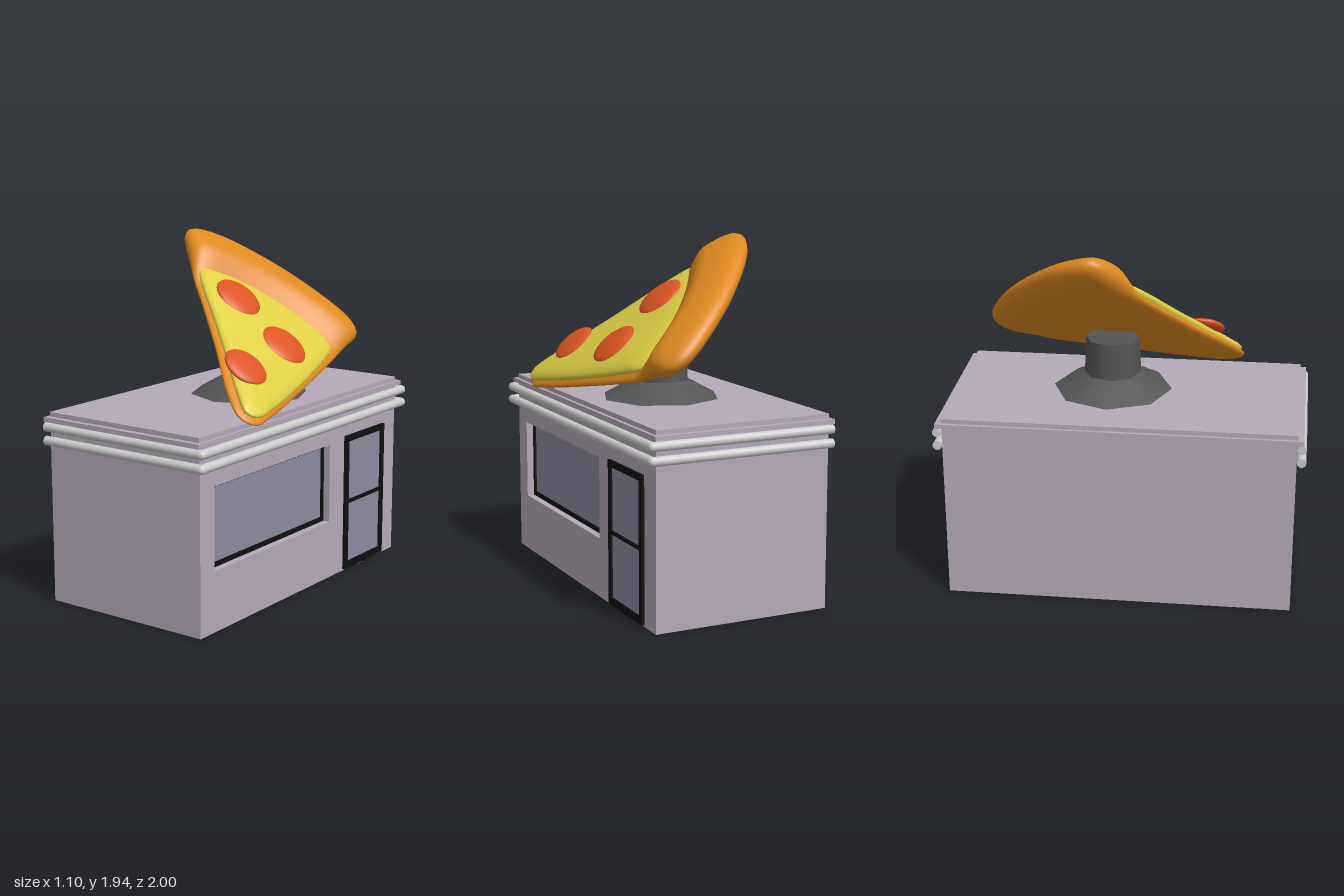
import * as THREE from 'three';
import { mergeVertices } from 'three/addons/utils/BufferGeometryUtils.js';

const mat = (color) => new THREE.MeshStandardMaterial({ color });
const WALL = mat(0xb5a9b8), GLASS = mat(0x8c8aa0), FRAME = mat(0x10100f), PIPE = mat(0xcccccc);
const STAND = mat(0x555555), CRUST = mat(0xe08a20), CHEESE = mat(0xdfd045), SAUSAGE = mat(0xdd5524);

function add(parent, name, geometry, material) {
  const mesh = new THREE.Mesh(geometry, material);
  mesh.name = name;
  parent.add(mesh);
  return mesh;
}

// Box given by its minimum and maximum corners
function block(parent, name, material, x0, x1, y0, y1, z0, z1) {
  const mesh = add(parent, name, new THREE.BoxGeometry(x1 - x0, y1 - y0, z1 - z0), material);
  mesh.position.set((x0 + x1) / 2, (y0 + y1) / 2, (z0 + z1) / 2);
  return mesh;
}

function rect(Type, [a0, a1, b0, b1]) {
  const p = new Type();
  p.moveTo(a0, b0).lineTo(a1, b0).lineTo(a1, b1).lineTo(a0, b1).closePath();
  return p;
}

// Upright plate facing +x, with rectangular holes; rectangles are [-z0, -z1, y0, y1]
function plate(parent, name, material, x0, x1, outer, holes) {
  const shape = rect(THREE.Shape, outer);
  shape.holes = holes.map((h) => rect(THREE.Path, h));
  const geo = new THREE.ExtrudeGeometry(shape, { depth: x1 - x0, bevelEnabled: false });
  const mesh = add(parent, name, geo, material);
  mesh.rotation.y = Math.PI / 2;
  mesh.position.x = x0;
  return mesh;
}

// Rounded slab over a smooth outline of [x, z] points; thickness may vary by position
function pillow(outline, base, thickness, power) {
  const n = 96, steps = 24;
  const curve = new THREE.CatmullRomCurve3(outline.map(([x, z]) => new THREE.Vector3(x, 0, z)), true);
  const ring = curve.getSpacedPoints(n).slice(0, n);
  const centre = ring.reduce((c, p) => c.addScaledVector(p, 1 / n), new THREE.Vector3());
  const pos = [], idx = [];
  for (let i = 0; i <= 2 * steps; i++) {
    const t = (i / steps - 1) * Math.PI / 2;
    const f = Math.abs(i - steps) === steps ? 0 : Math.cos(t);
    const g = Math.sign(t) * Math.sqrt(1 - f ** power);
    for (let j = 0; j < n; j++) {
      const p = centre.clone().lerp(ring[j], f);
      pos.push(p.x, base + thickness(p.x, p.z) * (0.5 + 0.5 * g), p.z);
      if (i === 2 * steps) continue;
      const a = i * n + j, b = i * n + (j + 1) % n;
      if (i < 2 * steps - 1) idx.push(a, a + n, b + n);
      if (i > 0) idx.push(a, b + n, b);
    }
  }
  let geo = new THREE.BufferGeometry();
  geo.setAttribute('position', new THREE.Float32BufferAttribute(pos, 3));
  geo.setIndex(idx);
  geo = mergeVertices(geo, 1e-5);
  geo.computeVertexNormals();
  return geo;
}

function createBuilding() {
  const g = new THREE.Group();
  g.name = 'building';
  const win = [-0.83, 0.25, 0.33, 0.78];

  // Walls: solid body with a street wall in front, pierced for the window
  block(g, 'body', WALL, -0.525, 0.42, 0, 1.01, -0.95, 0.95);
  plate(g, 'streetWall', WALL, 0.42, 0.475, [-0.95, 0.95, 0, 1.01], [win]);
  block(g, 'roofLedge', WALL, -0.542, 0.495, 1.005, 1.03, -0.985, 0.985);
  block(g, 'roofCap', WALL, -0.525, 0.475, 1.03, 1.055, -0.953, 0.953);

  // Recessed shop window
  plate(g, 'windowFrame', FRAME, 0.42, 0.435, win, [[-0.805, 0.23, 0.355, 0.76]]);
  block(g, 'windowGlass', GLASS, 0.415, 0.425, 0.34, 0.77, -0.24, 0.82);

  // Door standing slightly proud of the wall
  plate(g, 'doorFrame', FRAME, 0.47, 0.49, [0.397, 0.815, 0.01, 0.8],
    [[0.432, 0.78, 0.05, 0.4], [0.432, 0.78, 0.42, 0.765]]);
  block(g, 'doorGlass', GLASS, 0.47, 0.48, 0.03, 0.79, -0.8, -0.41);

  // Two trim pipes wrapping three sides, open at the back
  const r = 0.025, px = 0.505, pz = 0.975;
  for (const y of [0.902, 0.977]) {
    const pipe = new THREE.Group();
    pipe.name = 'trimPipe';
    pipe.position.y = y;
    g.add(pipe);
    const front = add(pipe, 'streetPipe', new THREE.CylinderGeometry(r, r, 2 * pz, 20), PIPE);
    front.rotation.x = Math.PI / 2;
    front.position.x = px;
    for (const s of [-1, 1]) {
      const side = add(pipe, 'sidePipe', new THREE.CylinderGeometry(r, r, px + 0.535, 20), PIPE);
      side.rotation.z = Math.PI / 2;
      side.position.set((px - 0.535) / 2, 0, s * pz);
      add(pipe, 'pipeElbow', new THREE.SphereGeometry(r, 20, 12), PIPE).position.set(px, 0, s * pz);
    }
  }
  return g;
}

function createSlice() {
  const g = new THREE.Group();
  g.name = 'pizzaSlice';

  // Bread: thin towards the tip, swelling into a thick crust along the arc
  const bread = [[-0.03, -0.13], [0.035, -0.3], [0.31, -0.56], [0.6, -0.73], [0.84, -0.805], [0.94, -0.765],
    [0.99, -0.6], [1.16, 0], [1.26, 0.4], [1.28, 0.56], [1.21, 0.625], [1.08, 0.58], [0.72, 0.34], [0.36, 0.12],
    [0.08, -0.03]];
  const breadThickness = (x, z) =>
    0.075 + 0.105 * THREE.MathUtils.smoothstep(Math.hypot(x - 1.27, z - 0.62), 1.08, 1.32);
  add(g, 'breadAndCrust', pillow(bread, 0, breadThickness, 6), CRUST);

  // Cheese cushion
  const cheese = [[0.23, 0], [0.26, -0.12], [0.45, -0.3], [0.7, -0.44], [0.89, -0.49], [0.98, -0.46],
    [1.02, -0.37], [1.14, 0], [1.24, 0.4], [1.26, 0.56], [1.21, 0.61], [1.12, 0.57], [0.69, 0.3], [0.3, 0.07]];
  add(g, 'cheese', pillow(cheese, 0.035, () => 0.085, 5), CHEESE);

  // Sausage rounds
  for (const [x, z, r] of [[0.52, -0.025, 0.14], [0.895, -0.05, 0.14], [0.97, 0.385, 0.128]]) {
    const round = add(g, 'sausageRound', new THREE.SphereGeometry(1, 32, 16), SAUSAGE);
    round.scale.set(r, 0.032, r);
    round.position.set(x, 0.113, z);
  }

  // Tilt towards the street
  g.rotation.z = -0.693;
  g.position.set(-0.47, 1.84, 0);
  return g;
}

export function createModel() {
  const model = new THREE.Group();
  model.name = 'pizzaShop';
  model.add(createBuilding());

  // Eight-sided sign stand: flared foot and neck
  const foot = add(model, 'standFoot', new THREE.CylinderGeometry(0.158, 0.34, 0.1, 8), STAND);
  foot.position.set(0.03, 1.1, -0.09);
  const neck = add(model, 'standNeck', new THREE.CylinderGeometry(0.15, 0.158, 0.205, 8), STAND);
  neck.position.set(0.03, 1.2525, -0.09);

  model.add(createSlice());
  return model;
}
